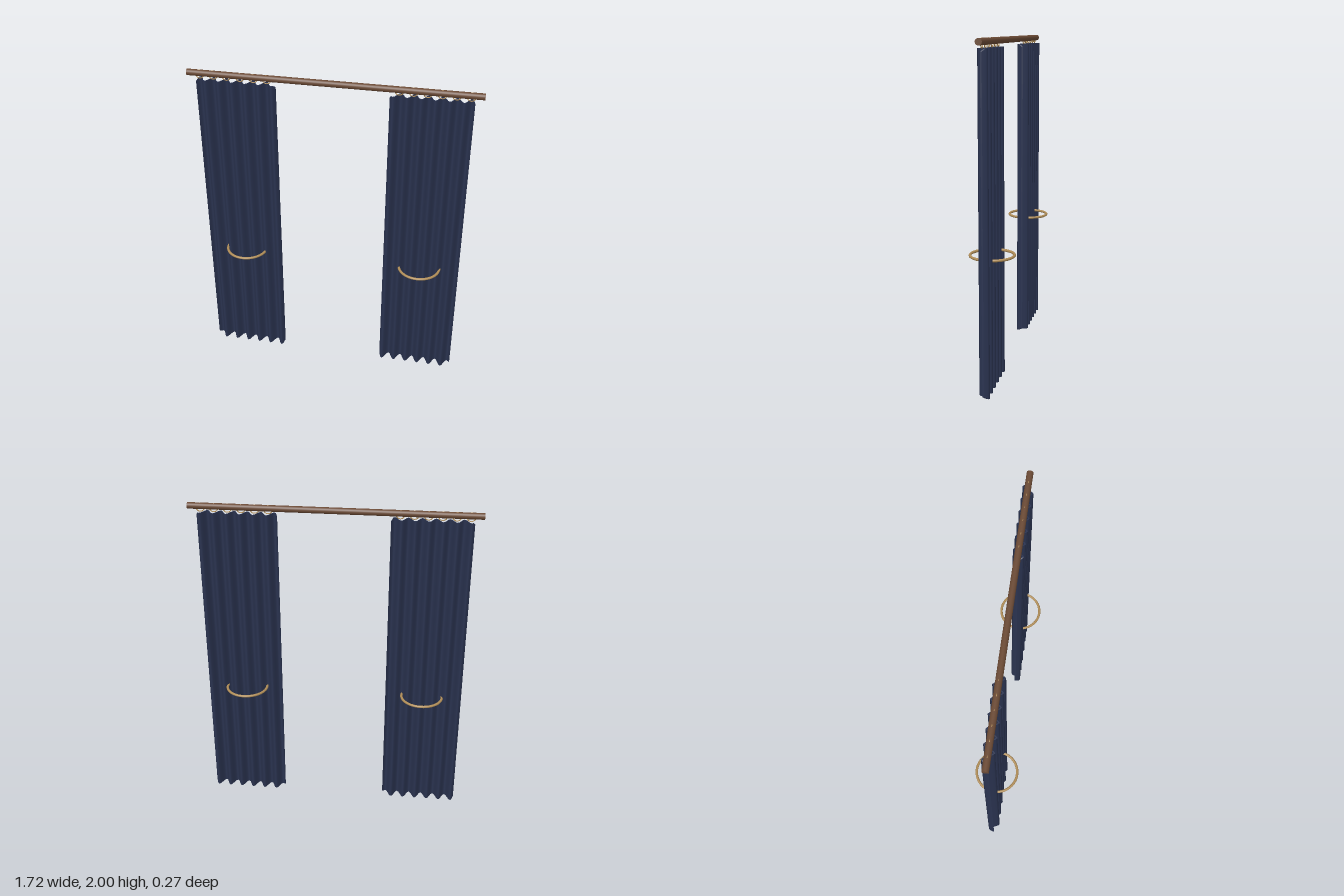
import * as THREE from 'three';

const WIDTH = 0.478, HEIGHT = 1.945, THICK = 0.009;
const FOLDS = 6, DEPTH = 0.029, CORNER = 0.016;

// Pleated cloth: a thin subdivided box bent into a wave, with rounded corners
function curtainGeometry(side) {
  const geo = new THREE.BoxGeometry(WIDTH, HEIGHT, THICK, FOLDS * 8, 8, 1);
  const p = geo.attributes.position;
  for (let i = 0; i < p.count; i++) {
    const x = p.getX(i), y = p.getY(i);
    // distance from the outer end, so both curtains mirror each other
    const u = WIDTH / 2 - side * x;
    const amp = DEPTH + 0.002 * (0.5 - y / HEIGHT);
    p.setZ(i, p.getZ(i) - amp * Math.sin((u / WIDTH) * FOLDS * Math.PI * 2));
    const d = WIDTH / 2 - Math.abs(x);
    if (d < CORNER) {
      const drop = CORNER - Math.sqrt(Math.max(0, CORNER ** 2 - (CORNER - d) ** 2));
      p.setY(i, y * (1 - drop / (HEIGHT / 2)));
    }
  }
  geo.computeVertexNormals();
  return geo;
}

export function createModel() {
  const model = new THREE.Group();
  model.name = 'curtains';

  const wood = new THREE.MeshStandardMaterial({ color: 0x6b4a35 });
  wood.name = 'brown wood';
  const cloth = new THREE.MeshStandardMaterial({ color: 0x2a3350 });
  cloth.name = 'navy cloth';
  const brass = new THREE.MeshStandardMaterial({ color: 0xb08d57 });
  brass.name = 'brass';

  const add = (name, geo, mat, x, y, parent = model) => {
    const mesh = new THREE.Mesh(geo, mat);
    mesh.name = name;
    mesh.position.set(x, y, 0);
    parent.add(mesh);
    return mesh;
  };

  // Rod
  const rod = new THREE.CylinderGeometry(0.019, 0.019, 1.724, 24).rotateZ(Math.PI / 2);
  add('rod', rod, wood, 0, 1.98);

  const ringGeo = new THREE.TorusGeometry(0.025, 0.003, 8, 24);
  const tieGeo = new THREE.TorusGeometry(0.128, 0.008, 10, 48).rotateX(Math.PI / 2);

  for (const side of [-1, 1]) {
    const panel = new THREE.Group();
    panel.name = side > 0 ? 'leftCurtain' : 'rightCurtain';
    model.add(panel);

    add('cloth', curtainGeometry(side), cloth, side * 0.571, HEIGHT / 2, panel);
    add('tieback', tieGeo, brass, side * 0.562, 0.775, panel);

    // Hanging rings, one per fold
    for (let i = 0; i < FOLDS; i++) {
      add('curtainRing', ringGeo, brass, side * (0.384 + i * 0.0805), 1.972, panel);
    }
  }
  return model;
}
